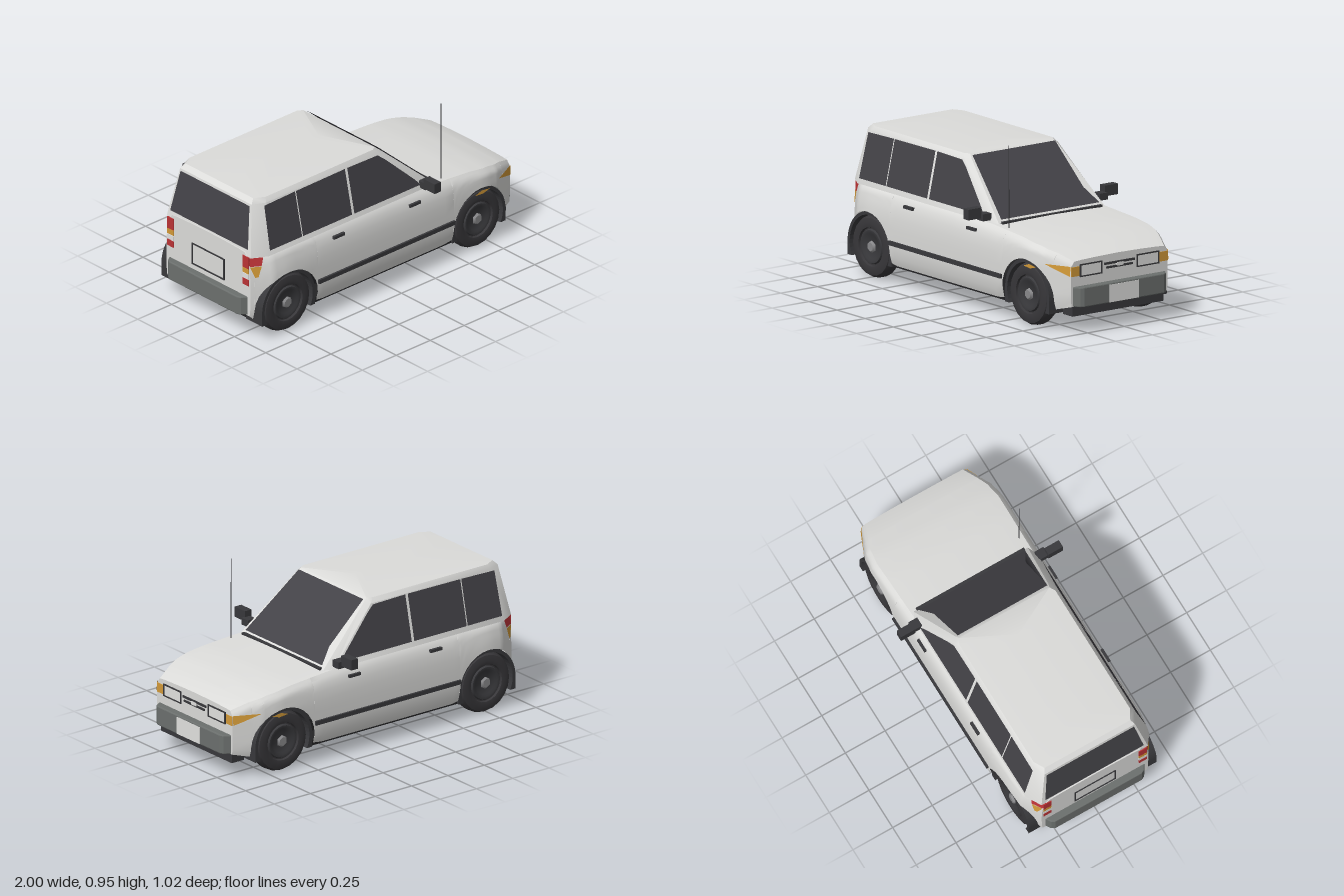
import * as THREE from 'three';
import { toCreasedNormals } from 'three/addons/utils/BufferGeometryUtils.js';

const mat = (name, color, side = THREE.FrontSide) => {
  const m = new THREE.MeshStandardMaterial({ color, side });
  m.name = name;
  return m;
};

// Piecewise linear lookup through [key, value] pairs
function lerpTable(table, k) {
  if (k <= table[0][0]) return table[0][1];
  for (let i = 1; i < table.length; i++) {
    const [k0, v0] = table[i - 1], [k1, v1] = table[i];
    if (k <= k1) return v0 + (v1 - v0) * (k - k0) / (k1 - k0);
  }
  return table[table.length - 1][1];
}

// Skin over rows of points; optional flat caps on the first and last rows
function skin(rows, capCentres) {
  const n = rows[0].length, pos = rows.flat(2), idx = [];
  for (let i = 0; i < rows.length - 1; i++) for (let j = 0; j < n - 1; j++) {
    const a = i * n + j, b = a + n;
    idx.push(a, b, b + 1, a, b + 1, a + 1);
  }
  if (capCentres) {
    const c = pos.length / 3, last = (rows.length - 1) * n;
    pos.push(...capCentres.flat());
    for (let j = 0; j < n - 1; j++) idx.push(c, j, j + 1, c + 1, last + j + 1, last + j);
  }
  const g = new THREE.BufferGeometry();
  g.setAttribute('position', new THREE.Float32BufferAttribute(pos, 3));
  g.setIndex(idx);
  return toCreasedNormals(g, 0.6);
}

// Flat convex panel from its corner points
function panel(pts) {
  const g = new THREE.BufferGeometry(), idx = [];
  g.setAttribute('position', new THREE.Float32BufferAttribute(pts.flat(), 3));
  for (let i = 1; i < pts.length - 1; i++) idx.push(0, i, i + 1);
  g.setIndex(idx);
  g.computeVertexNormals();
  return g;
}

// Body width, top line, side curvature and wheel positions
const WHEEL_X = [-0.74, 0.66], WHEEL_Y = 0.172, ARCH_R = 0.2;
const WIDTH = [[-0.96, 0.335], [-0.85, 0.405], [-0.76, 0.42], [0.7, 0.42], [0.8, 0.4], [0.955, 0.33]];
const TOP = [[-0.96, 0.52], [0, 0.515], [0.33, 0.495], [0.6, 0.477], [0.75, 0.457], [0.88, 0.427], [0.955, 0.395]];
const CURVE = [[0.11, 0.95], [0.15, 0.99], [0.2, 1], [0.36, 1], [0.42, 0.985], [0.48, 0.95], [0.52, 0.917]];
const bodyZ = (x, y) => lerpTable(WIDTH, x) * lerpTable(CURVE, y)
  - 0.02 * Math.max(0, 1 - (lerpTable(TOP, x) - y) / 0.03);
const cabinZ = y => 0.385 - (y - 0.5) * 0.224;

function bodyGeometry() {
  const stations = [[-0.96, 0.14], [0.955, 0.145], [0.8, null], [-0.85, null]];
  for (const x of [-0.5, -0.3, 0, 0.2, 0.33, 0.4]) stations.push([x, 0.11]);
  for (const wx of WHEEL_X) {
    stations.push([wx - ARCH_R - 1e-4, 0.12], [wx + ARCH_R + 1e-4, 0.12]);
    for (let i = 0; i <= 14; i++) stations.push([wx - ARCH_R * Math.cos(Math.PI * i / 14), null]);
  }
  stations.sort((a, b) => a[0] - b[0]);
  const rows = stations.map(([x, low]) => {
    if (low === null) {
      const wx = WHEEL_X[x < 0 ? 0 : 1];
      low = WHEEL_Y + Math.sqrt(Math.max(0, ARCH_R ** 2 - (x - wx) ** 2));
    }
    const top = lerpTable(TOP, x);
    const half = [0, 0.12, 0.3, 0.5, 0.65, 0.78, 0.88, 0.95, 1].map(t => {
      const y = low + (top - low) * t;
      return [x, y, bodyZ(x, y)];
    });
    const edge = half[8][2];
    half.push([x, top + 0.004, edge * 0.85], [x, top + 0.008, edge * 0.45]);
    return [...half, [x, top + 0.01, 0], ...half.slice().reverse().map(([a, b, c]) => [a, b, -c])];
  });
  return skin(rows, [[-0.96, 0.14, 0], [0.955, 0.145, 0]]);
}

function cabinGeometry() {
  // y, front x and z, side front x, side z, side rear x, rear x and z
  const levels = [
    [0.5, 0.355, 0.36, 0.3, 0.385, -0.87, -0.958, 0.335],
    [0.79, 0.03, 0.295, -0.005, 0.32, -0.83, -0.905, 0.285],
    [0.815, 0, 0.285, -0.03, 0.303, -0.82, -0.88, 0.27],
    [0.83, -0.15, 0, -0.2, 0, -0.5, -0.7, 0],
  ];
  return skin(levels.map(([y, xf, zf, xs, zs, xq, xr, zr]) => {
    const h = [[xf, y, zf], [xs, y, zs], [xq, y, zs], [xr, y, zr]];
    return [...h, ...h.slice().reverse().map(([a, b, c]) => [a, b, -c]), h[0]];
  }));
}

export function createModel() {
  const car = new THREE.Group();
  car.name = 'car';
  const D = THREE.DoubleSide;
  const paint = mat('body paint', 0xdcdcda, D), glass = mat('tinted glass', 0x434247, D);
  const trim = mat('dark trim', 0x39393c, D), under = mat('underside black', 0x232325);
  const bumperGrey = mat('bumper grey', 0x6c706e), rubber = mat('tyre rubber', 0x38373a);
  const metal = mat('hub metal', 0x8a8a8c), white = mat('plate white', 0xe2e2e0, D);
  const red = mat('lamp red', 0xbb3336, D), amber = mat('lamp amber', 0xd39a38, D);

  const add = (name, geo, m, x = 0, y = 0, z = 0) => {
    const mesh = new THREE.Mesh(geo, m);
    mesh.name = name;
    mesh.position.set(x, y, z);
    car.add(mesh);
    return mesh;
  };
  // Box given by its extents
  const box = (name, m, x0, x1, y0, y1, z0, z1) => add(name,
    new THREE.BoxGeometry(x1 - x0, y1 - y0, Math.abs(z1 - z0)), m, (x0 + x1) / 2, (y0 + y1) / 2, (z0 + z1) / 2);
  // Thin rectangular outline facing along x
  const frame = (name, x, y0, y1, z0, z1, t) => {
    for (const y of [y0, y1 - t]) box(name, trim, x - 0.004, x + 0.004, y, y + t, z0, z1);
    for (const z of [z0, z1 - t]) box(name, trim, x - 0.004, x + 0.004, y0, y1, z, z + t);
  };

  add('body', bodyGeometry(), paint);
  add('cabin', cabinGeometry(), paint);

  // Windscreen, rear window and cowl
  const screen = (y, z) => [0.36 - (y - 0.5) * 1.121, y + 0.004, z];
  add('windscreen', panel([screen(0.515, 0.335), screen(0.515, -0.335), screen(0.59, -0.29),
    screen(0.805, -0.282), screen(0.805, 0.282), screen(0.59, 0.29)]), glass);
  const back = (y, z) => [-0.963 + (y - 0.5) * 0.183, y, z];
  add('rearWindow', panel([back(0.54, -0.31), back(0.54, 0.31), back(0.78, 0.275), back(0.78, -0.275)]), glass);
  box('cowl', trim, 0.34, 0.365, 0.485, 0.508, -0.34, 0.34);

  // Floor and wheel wells
  box('floor', under, -0.54, 0.46, 0.1, 0.13, -0.395, 0.395);
  box('floorCentre', under, -0.93, 0.92, 0.1, 0.2, -0.28, 0.28);
  box('frontValance', trim, 0.86, 0.945, 0.088, 0.146, -0.31, 0.31);
  for (const x of WHEEL_X) box('wheelWell', under, x - 0.19, x + 0.19, 0.1, 0.34, -0.29, 0.29);

  // Arch liner with mud flaps
  const arch = new THREE.Shape();
  arch.moveTo(-0.195, -0.075);
  arch.lineTo(-0.195, 0);
  arch.absarc(0, 0, 0.196, Math.PI, 0, true);
  arch.lineTo(0.195, -0.075);
  arch.lineTo(0.16, -0.075);
  arch.absarc(0, 0, 0.177, -0.44, Math.PI + 0.44, false);
  const archGeo = new THREE.ExtrudeGeometry(arch, { depth: 0.13, bevelEnabled: false, curveSegments: 16 });

  // Wheel: tyre, rim dish and hub
  const lathe = (pts, n) => toCreasedNormals(
    new THREE.LatheGeometry(pts.map(p => new THREE.Vector2(...p)), n).rotateX(Math.PI / 2), 0.6);
  const tyre = lathe([[0, -0.05], [0.13, -0.05], [0.16, -0.042], [0.172, -0.02], [0.172, 0.02],
    [0.16, 0.042], [0.13, 0.05], [0.108, 0.046], [0.104, 0.034], [0, 0.034]], 20);
  const rim = lathe([[0.1, 0.03], [0.092, 0.044], [0.078, 0.044], [0.066, 0.036], [0, 0.036]], 20);
  const hub = new THREE.CylinderGeometry(0.026, 0.036, 0.014, 6).rotateX(Math.PI / 2);

  for (const s of [1, -1]) {
    for (const x of WHEEL_X) {
      add('archLiner', archGeo, trim, x, WHEEL_Y, s > 0 ? 0.272 : -0.402);
      const wheel = new THREE.Group();
      wheel.name = 'wheel';
      for (const [name, g, m, z] of [['tyre', tyre, rubber, 0], ['rim', rim, trim, 0], ['hub', hub, metal, 0.041]]) {
        const part = new THREE.Mesh(g, m);
        part.name = name;
        part.position.z = z;
        wheel.add(part);
      }
      wheel.position.set(x, WHEEL_Y, s * 0.35);
      wheel.rotation.y = s > 0 ? 0 : Math.PI;
      car.add(wheel);
    }

    // Side windows
    const side = pts => panel(pts.map(([x, y]) => [x, y, s * (cabinZ(y) + 0.004)]));
    add('quarterWindow', side([[-0.86, 0.53], [-0.623, 0.53], [-0.623, 0.785], [-0.85, 0.78]]), glass);
    add('rearDoorWindow', side([[-0.616, 0.53], [-0.255, 0.53], [-0.255, 0.788], [-0.616, 0.785]]), glass);
    add('frontDoorWindow', side([[-0.238, 0.53], [0.25, 0.53], [0.215, 0.57], [0.03, 0.748], [-0.015, 0.784], [-0.238, 0.788]]), glass);

    // Rubbing strip, handles and mirrors
    box('sideStrip', trim, -0.54, 0.46, 0.226, 0.25, s * 0.41, s * 0.432);
    for (const [x, y] of [[-0.42, 0.45], [0.14, 0.44]]) box('doorHandle', trim, x, x + 0.08, y, y + 0.016, s * 0.39, s * 0.419);
    box('mirrorArm', trim, 0.245, 0.3, 0.513, 0.552, s * 0.37, s * 0.425);
    box('mirror', trim, 0.235, 0.28, 0.527, 0.586, s * 0.42, s * 0.51);

    // Corner lamps following the body side
    const lamp = pts => panel(pts.map(([x, y]) => [x, y, s * (bodyZ(x, y) + 0.006)]));
    add('sideTailLamp', lamp([[-0.96, 0.445], [-0.905, 0.445], [-0.89, 0.492], [-0.96, 0.492]]), red);
    add('sideTailIndicator', lamp([[-0.94, 0.38], [-0.925, 0.38], [-0.905, 0.442], [-0.96, 0.442]]), amber);
    add('sideIndicator', lamp([[0.955, 0.315], [0.955, 0.37], [0.81, 0.37], [0.9, 0.335]]), amber);
    add('archRepeater', panel([[0.63, 0.328, s * 0.404], [0.69, 0.322, s * 0.404], [0.74, 0.337, s * 0.404], [0.68, 0.345, s * 0.404]]), amber);

    // Front and rear lamps
    const z0 = s > 0 ? 0.118 : -0.27;
    frame('headlampFrame', 0.957, 0.305, 0.376, z0, z0 + 0.152, 0.007);
    box('headlamp', white, 0.952, 0.958, 0.31, 0.37, s * 0.124, s * 0.264);
    box('frontIndicator', amber, 0.952, 0.959, 0.313, 0.366, s * 0.275, s * 0.329);
    box('tailLamp', red, -0.965, -0.957, 0.43, 0.5, s * 0.275, s * 0.325);
    box('reverseLamp', white, -0.965, -0.957, 0.365, 0.395, s * 0.275, s * 0.325);
    box('rearIndicator', amber, -0.965, -0.957, 0.398, 0.428, s * 0.275, s * 0.325);
    box('rearFogLamp', red, -0.965, -0.957, 0.325, 0.362, s * 0.275, s * 0.325);
  }

  // Grille bars
  box('grilleBar', trim, 0.952, 0.962, 0.349, 0.361, -0.102, 0.102);
  box('grilleBar', trim, 0.952, 0.962, 0.327, 0.338, -0.09, 0.09);
  box('grilleCentre', white, 0.953, 0.965, 0.334, 0.353, -0.021, 0.021);

  // Bumpers: tapered plan, mirrored front to rear
  for (const e of [1, -1]) {
    const plan = new THREE.Shape([[0.9, -0.32], [0.94, -0.318], [0.985, -0.288], [0.994, -0.27],
      [0.994, 0.27], [0.985, 0.288], [0.94, 0.318], [0.9, 0.32]].map(([x, z]) => new THREE.Vector2(e * x, z)));
    const g = new THREE.ExtrudeGeometry(plan, { depth: 0.098, bevelThickness: 0.006, bevelSize: 0.006, bevelSegments: 2 });
    add(e > 0 ? 'frontBumper' : 'rearBumper', g.rotateX(Math.PI / 2), bumperGrey, 0, 0.249, 0);
  }
  box('frontPlate', white, 0.996, 1.002, 0.148, 0.246, -0.1, 0.1);
  frame('rearPlateFrame', -0.961, 0.285, 0.415, -0.13, 0.13, 0.007);

  // Aerial
  add('aerial', new THREE.CylinderGeometry(0.002, 0.003, 0.47, 6), trim, 0.43, 0.715, 0.35);
  return car;
}
